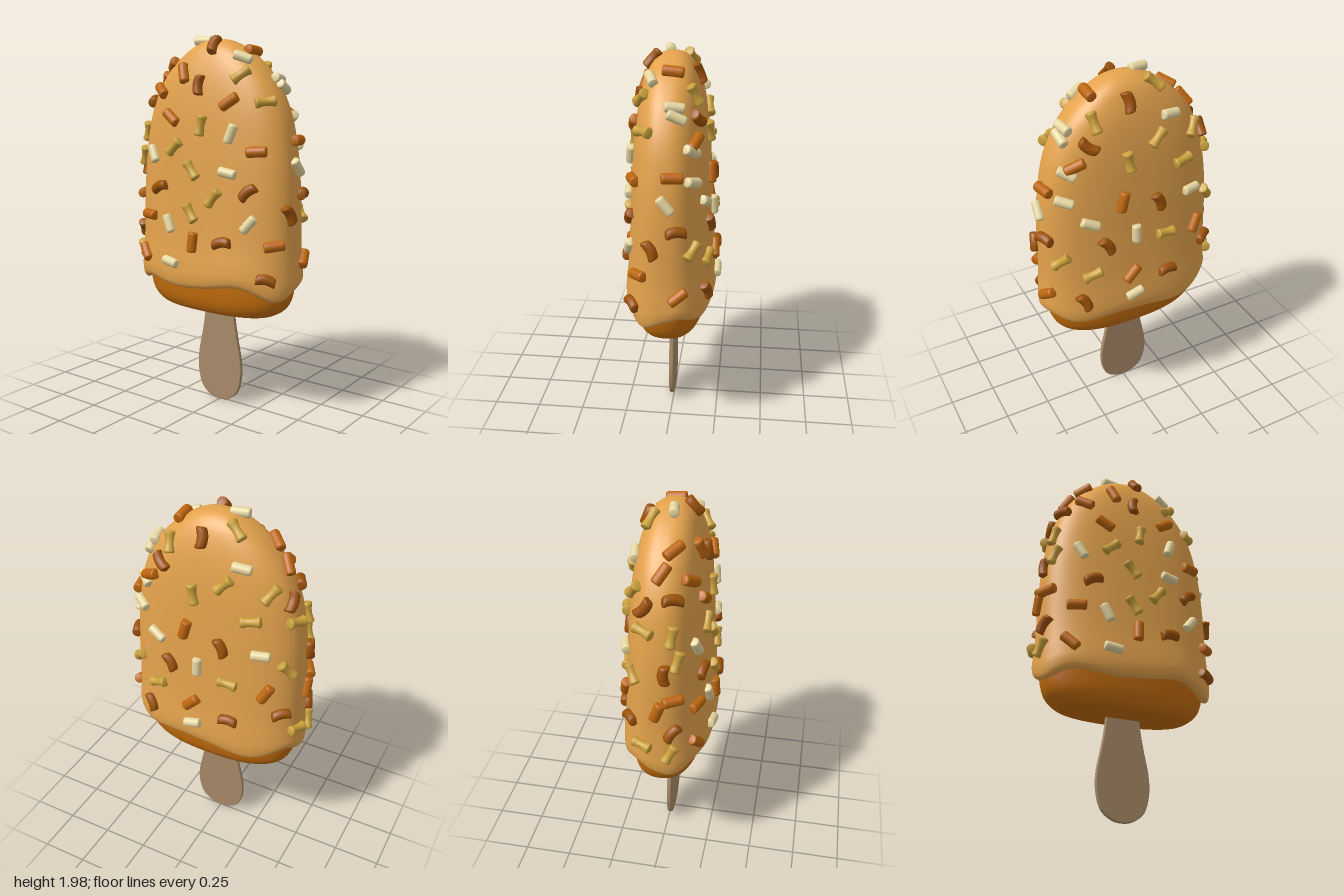
import * as THREE from 'three';

const mat = (name, color) => {
  const m = new THREE.MeshStandardMaterial({ color });
  m.name = name;
  return m;
};
const ZC = 0.01; // depth centre of the bar
const POW = 2.5; // squareness of the oval sections
const V = (x, y, z) => new THREE.Vector3(x, y, z);

// Profiles: [y, half width, half depth]
const LIP = [[0.735, 0.41, 0.165], [0.7, 0.435, 0.185], [0.685, 0.458, 0.208], [0.7, 0.477, 0.228]];
const COAT = [[0.74, 0.486, 0.237], [0.8, 0.484, 0.235], [0.92, 0.477, 0.222], [1.2, 0.472, 0.205],
  [1.4, 0.455, 0.195], [1.6, 0.412, 0.18], [1.75, 0.338, 0.158], [1.85, 0.25, 0.13],
  [1.92, 0.155, 0.095], [1.957, 0.072, 0.05], [1.968, 0, 0]];
const CORE = [[0.528, 0, 0], [0.528, 0.14, 0.055], [0.531, 0.26, 0.11], [0.55, 0.36, 0.153],
  [0.6, 0.418, 0.177], [0.68, 0.445, 0.187], [0.78, 0.45, 0.19]];

const smooth = (profile, n) =>
  new THREE.CatmullRomCurve3(profile.map(([y, w, d]) => V(w, y, d))).getPoints(n);

// Skin of oval rings, from the bottom up; lift(angle, y) shifts points vertically
function ovalSkin(rings, lift = () => 0, seg = 96) {
  const pos = [], idx = [];
  const se = (t) => Math.sign(t) * Math.abs(t) ** (2 / POW);
  rings.forEach((r, i) => {
    for (let j = 0; j < seg; j++) {
      const a = (j / seg) * Math.PI * 2;
      pos.push(r.x * se(Math.cos(a)), r.y + lift(a, r.y), ZC + r.z * se(Math.sin(a)));
      if (i === rings.length - 1) continue;
      const k = (j + 1) % seg, p = i * seg + j, q = i * seg + k;
      idx.push(p, p + seg, q, q, p + seg, q + seg);
    }
  });
  const g = new THREE.BufferGeometry();
  g.setAttribute('position', new THREE.Float32BufferAttribute(pos, 3));
  g.setIndex(idx);
  g.computeVertexNormals();
  return g;
}

// Inside/outside measure of the coating: below 1 is inside
const samples = smooth(COAT, 200);
function sizeAt(y) {
  for (let i = 1; i < samples.length; i++) {
    const a = samples[i - 1], b = samples[i];
    if (y <= b.y) {
      const t = Math.max(0, (y - a.y) / (b.y - a.y));
      return [a.x + (b.x - a.x) * t, a.z + (b.z - a.z) * t];
    }
  }
  return [0.001, 0.001];
}
function measure(p) {
  const [w, d] = sizeAt(p.y);
  return (Math.abs(p.x) / Math.max(w, 0.001)) ** POW + (Math.abs(p.z - ZC) / Math.max(d, 0.001)) ** POW;
}
// Surface point and normal along a ray from inside
function hit(origin, dir) {
  let lo = 0, hi = 1;
  for (let i = 0; i < 30; i++) {
    const m = (lo + hi) / 2;
    if (measure(origin.clone().addScaledVector(dir, m)) < 1) lo = m; else hi = m;
  }
  const p = origin.clone().addScaledVector(dir, lo);
  const e = 0.006;
  const slope = (v) => measure(p.clone().addScaledVector(v, e)) - measure(p.clone().addScaledVector(v, -e));
  const q = p.y > 1.95 ? V(0, 1, 0) : V(slope(V(1, 0, 0)), slope(V(0, 1, 0)), slope(V(0, 0, 1)));
  return [p, q.normalize()];
}

// Sprinkle lying along x; pinch narrows the middle, bend curves it
function sprinkleGeometry(len, rad, pinch, bend) {
  const h = len / 2, pts = [[0, -h], [rad * 0.75, -h], [rad * 0.95, -h + 0.004], [rad, -h + 0.01]];
  for (let i = 1; i < 8; i++) {
    const t = i / 4 - 1;
    pts.push([rad * (1 - pinch * (1 - t * t)), t * (h - 0.01)]);
  }
  pts.push([rad, h - 0.01], [rad * 0.95, h - 0.004], [rad * 0.75, h], [0, h]);
  const g = new THREE.LatheGeometry(pts.map(([x, y]) => new THREE.Vector2(x, y)), 16);
  g.rotateZ(-Math.PI / 2);
  const p = g.attributes.position;
  for (let i = 0; i < p.count; i++) p.setZ(i, p.getZ(i) + bend * (p.getX(i) ** 2 - 0.001));
  g.computeVertexNormals();
  return g;
}

// Sprinkles per side: [across, height, tilt in degrees, kind]; on the top: [x, z, tilt, kind]
// Kinds: 0 caramel, 1 chocolate, 2 mustard, 3 cream
const FRONT = [[-0.12, 1.79, 110, 0], [-0.01, 1.73, 88, 1], [0.22, 1.78, 45, 2], [0.18, 1.65, 35, 0],
  [0.35, 1.65, 20, 2], [-0.28, 1.7, -35, 0], [-0.38, 1.645, -40, 1], [-0.18, 1.565, -35, 0],
  [0.02, 1.53, 80, 2], [0.2, 1.495, 70, 3], [-0.15, 1.415, 40, 2], [-0.31, 1.37, -60, 3],
  [-0.43, 1.35, 60, 2], [0.335, 1.41, 5, 0], [-0.03, 1.3, -50, 2], [0.19, 1.3, -10, 3],
  [-0.25, 1.2, 20, 1], [0.11, 1.17, 50, 2], [0.3, 1.21, 40, 1], [-0.456, 1.14, 0, 0],
  [-0.33, 1.04, 0, 0], [-0.175, 1.01, -65, 3], [-0.03, 1.08, -55, 2], [0.31, 1.05, 50, 3],
  [-0.01, 0.93, 86, 0], [0.17, 0.945, 10, 1], [0.425, 0.945, 10, 0], [-0.36, 0.83, -45, 0],
  [-0.15, 0.81, -10, 3], [0.4, 0.775, -10, 1], [-0.465, 0.945, 45, 1]];
const BACK = [[0.06, 1.585, -80, 2], [-0.1, 1.67, 45, 2], [0.1, 1.38, 75, 0], [-0.245, 1.51, 10, 2],
  [0.27, 1.29, -25, 3], [-0.1, 1.33, -65, 1], [-0.3, 1.33, 0, 3], [0.19, 1.15, -55, 1],
  [0.03, 1.18, 90, 3], [0.27, 0.99, 20, 2], [-0.14, 1.13, -5, 2], [-0.42, 1.25, -45, 2],
  [0.06, 0.945, 45, 0], [-0.335, 1.11, 60, 0], [0.32, 0.83, -60, 1], [-0.15, 0.9, 0, 1],
  [-0.41, 0.98, 10, 1], [0.05, 0.82, 15, 3], [0.32, 1.6, 20, 0], [0.38, 1.42, -20, 3]];
const RIGHT = [[-0.03, 1.76, 0, 3], [-0.11, 1.565, -10, 3], [-0.03, 1.46, 0, 0], [0, 1.33, -50, 3],
  [-0.05, 1.195, 0, 1], [0.07, 1.1, -60, 1], [-0.12, 1.08, 40, 2], [-0.06, 0.855, 35, 0]];
const LEFT = [[-0.05, 1.5, -15, 2], [0.08, 1.48, 80, 2], [0.05, 1.29, 90, 1], [0.02, 1.75, 60, 0],
  [-0.06, 0.86, -10, 2], [0.08, 0.82, 60, 2], [0.02, 1.08, 70, 0]];
const TOP = [[-0.09, 0.03, 10, 3], [0.03, 0.1, 95, 1], [-0.26, 0.06, -25, 0], [0.2, 0.09, 3, 3],
  [0.035, -0.115, 95, 1], [-0.12, -0.07, -40, 2], [0.19, -0.01, 90, 0], [-0.18, -0.13, -3, 3],
  [0.21, -0.11, -80, 2], [0.35, -0.04, -80, 3], [0.25, -0.13, -40, 1], [-0.32, -0.11, 55, 2],
  [-0.4, -0.05, 90, 1]];
const X = V(1, 0, 0), Y = V(0, 1, 0), Z = V(0, 0, 1);
const neg = (v) => v.clone().negate();
const fit = (v, lim) => Math.max(-lim, Math.min(lim, v));
const fromX = (x, y) => V(fit(x, sizeAt(y)[0] * 0.97), y, ZC);
const fromZ = (z, y) => V(0, y, ZC + fit(z - ZC, sizeAt(y)[1] * 0.95));
const SIDES = [
  { list: FRONT, dir: Z, right: X, from: fromX },
  { list: BACK, dir: neg(Z), right: neg(X), from: fromX },
  { list: RIGHT, dir: X, right: neg(Z), from: fromZ },
  { list: LEFT, dir: neg(X), right: Z, from: fromZ },
  { list: TOP, dir: Y, right: X, from: (x, z) => V(x, 1.2, z) },
];

export function createModel() {
  const model = new THREE.Group();
  model.name = 'iceCreamBar';
  const add = (name, geo, material, parent = model) => {
    const m = new THREE.Mesh(geo, material);
    m.name = name;
    parent.add(m);
    return m;
  };

  // Flat wooden stick with a wide rounded end
  const side = [[0.095, 0.62], [0.096, 0.5], [0.115, 0.38], [0.141, 0.25], [0.143, 0.15],
    [0.117, 0.06], [0.06, 0.012], [0, 0]];
  const outline = [...side, ...side.slice(0, -1).reverse().map(([x, y]) => [-x, y])];
  const shape = new THREE.Shape(
    new THREE.SplineCurve(outline.map(([x, y]) => new THREE.Vector2(x, y))).getPoints(80).reverse());
  const stick = new THREE.ExtrudeGeometry(shape, {
    depth: 0.014, bevelThickness: 0.005, bevelSize: 0.005, bevelOffset: -0.005, bevelSegments: 2 });
  add('stick', stick.translate(0, 0, 0.001), mat('wood', 0xa88a68));

  // Exposed core
  add('core', ovalSkin(smooth(CORE, 36)), mat('caramelCore', 0xc26c0c));

  // Coating with a wavy dripping lip
  const wave = (a, y) => {
    const fade = Math.max(0, Math.min(1, (1.0 - y) / 0.3));
    return fade * fade * (0.022 * Math.sin(5 * a + 2.53) + 0.014 * Math.sin(3 * a + 3.4));
  };
  add('coating', ovalSkin(smooth([...LIP, ...COAT], 90), wave), mat('toffeeCoating', 0xe3a24c));

  // Sprinkles laid on the coating
  const kinds = [
    ['caramelSprinkle', sprinkleGeometry(0.105, 0.027, 0, 0), mat('caramelSprinkle', 0xbd660c)],
    ['chocolateSprinkle', sprinkleGeometry(0.1, 0.027, 0, 5), mat('chocolateSprinkle', 0x9c5208)],
    ['mustardSprinkle', sprinkleGeometry(0.105, 0.028, 0.25, 0), mat('mustardSprinkle', 0xcaa03a)],
    ['creamSprinkle', sprinkleGeometry(0.097, 0.025, 0, 0), mat('creamSprinkle', 0xe6d6a0)],
  ];
  const sprinkles = new THREE.Group();
  sprinkles.name = 'sprinkles';
  model.add(sprinkles);
  for (const { list, dir, right, from } of SIDES) {
    for (const [u, v, tilt, kind] of list) {
      const [p, n] = hit(from(u, v), dir);
      const r = right.clone().addScaledVector(n, -right.dot(n)).normalize();
      const up = n.clone().cross(r);
      const a = THREE.MathUtils.degToRad(tilt);
      const along = r.multiplyScalar(Math.cos(a)).addScaledVector(up, Math.sin(a));
      const [name, geo, material] = kinds[kind];
      const m = add(name, geo, material, sprinkles);
      m.quaternion.setFromRotationMatrix(new THREE.Matrix4().makeBasis(along, n, along.clone().cross(n)));
      m.position.copy(p).addScaledVector(n, 0.008);
    }
  }
  return model;
}
